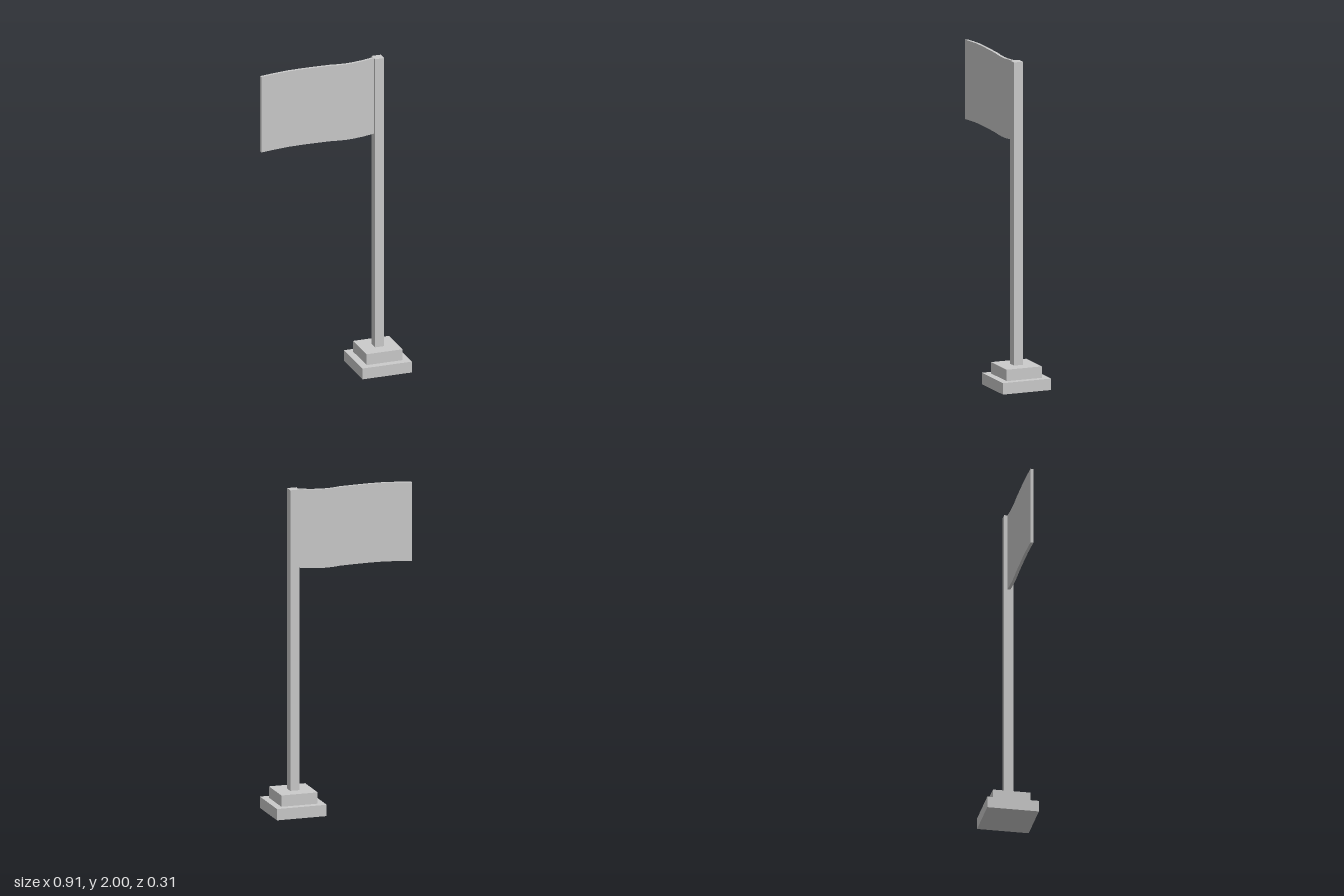
import * as THREE from 'three';

export function createModel() {
  const model = new THREE.Group();
  const material = new THREE.MeshStandardMaterial({ color: 0xcccccc, flatShading: true });
  const poleX = 0.294;

  const add = (name, geometry) => {
    const mesh = new THREE.Mesh(geometry, material);
    mesh.name = name;
    model.add(mesh);
    return mesh;
  };

  // Square column centred on the pole axis, from y0 to y1
  const column = (name, width, y0, y1) => {
    add(name, new THREE.BoxGeometry(width, y1 - y0, width)).position.set(poleX, (y0 + y1) / 2, 0);
  };

  // Stepped base and pole
  column('baseLower', 0.315, 0, 0.07);
  column('baseUpper', 0.23, 0.07, 0.14);
  column('pole', 0.058, 0.14, 2);

  // Flag: a wavy top edge, repeated lower down as the bottom edge
  const flagHeight = 0.487;
  const topEdge = [
    [-0.455, 1.979], [-0.37, 1.986], [-0.28, 1.991], [-0.19, 1.992], [-0.1, 1.991],
    [0, 1.989], [0.045, 1.985], [0.09, 1.984], [0.135, 1.985], [0.2, 1.99], [0.266, 1.999],
  ].map(([x, y]) => new THREE.Vector2(x, y));
  const bottomEdge = topEdge.map((p) => new THREE.Vector2(p.x, p.y - flagHeight)).reverse();
  const outline = new THREE.Shape([...topEdge, ...bottomEdge]);
  const thickness = 0.018;
  const flag = new THREE.ExtrudeGeometry(outline, { depth: thickness, bevelEnabled: false });
  add('flag', flag).position.z = -thickness / 2 - 0.001;

  return model;
}
